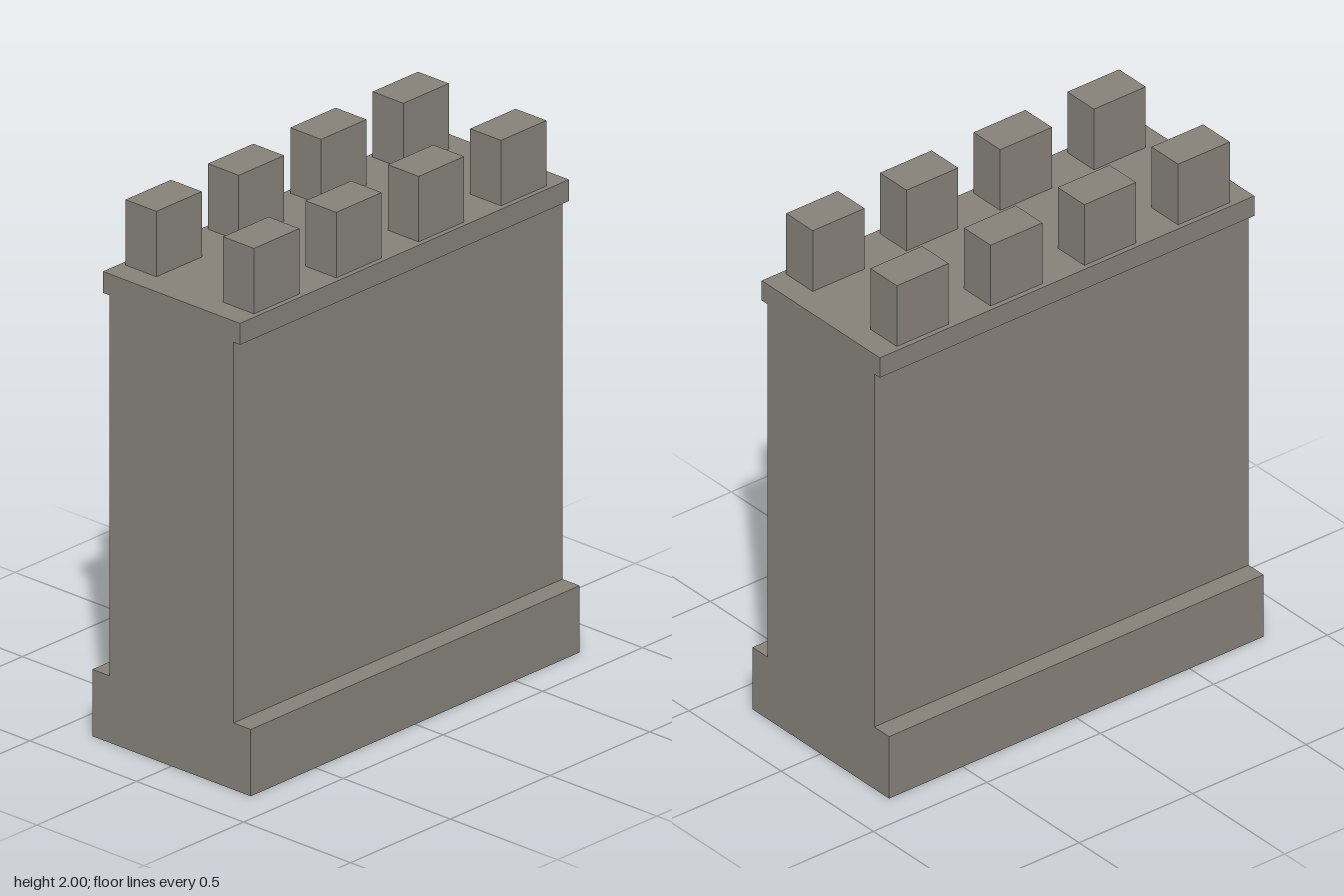
import * as THREE from 'three';

export function createModel() {
  const group = new THREE.Group();
  group.name = 'battlementWall';
  const stone = new THREE.MeshStandardMaterial({ color: 0x858178 });
  stone.name = 'stone';

  // Wall section: wide foot, slim body, overhanging ledge (depth, height)
  const length = 1.65;
  const half = [[0.37, 0], [0.37, 0.25], [0.29, 0.25], [0.29, 1.675], [0.32, 1.675], [0.32, 1.755]];
  const outline = [...half, ...half.map(([z, y]) => [-z, y]).reverse()];
  const section = new THREE.Shape(outline.map(([z, y]) => new THREE.Vector2(z, y)));
  const wallGeometry = new THREE.ExtrudeGeometry(section, { depth: length, bevelEnabled: false });
  wallGeometry.translate(0, 0, -length / 2).rotateY(-Math.PI / 2);
  const wall = new THREE.Mesh(wallGeometry, stone);
  wall.name = 'wall';
  group.add(wall);

  // Two rows of four merlons along the ledge
  const merlonGeometry = new THREE.BoxGeometry(0.228, 0.245, 0.144);
  for (const [row, z] of [['front', 0.228], ['back', -0.228]]) {
    for (let i = 0; i < 4; i++) {
      const merlon = new THREE.Mesh(merlonGeometry, stone);
      merlon.name = `${row}Merlon${i + 1}`;
      merlon.position.set((i - 1.5) * 0.413, 1.8775, z);
      group.add(merlon);
    }
  }
  return group;
}
